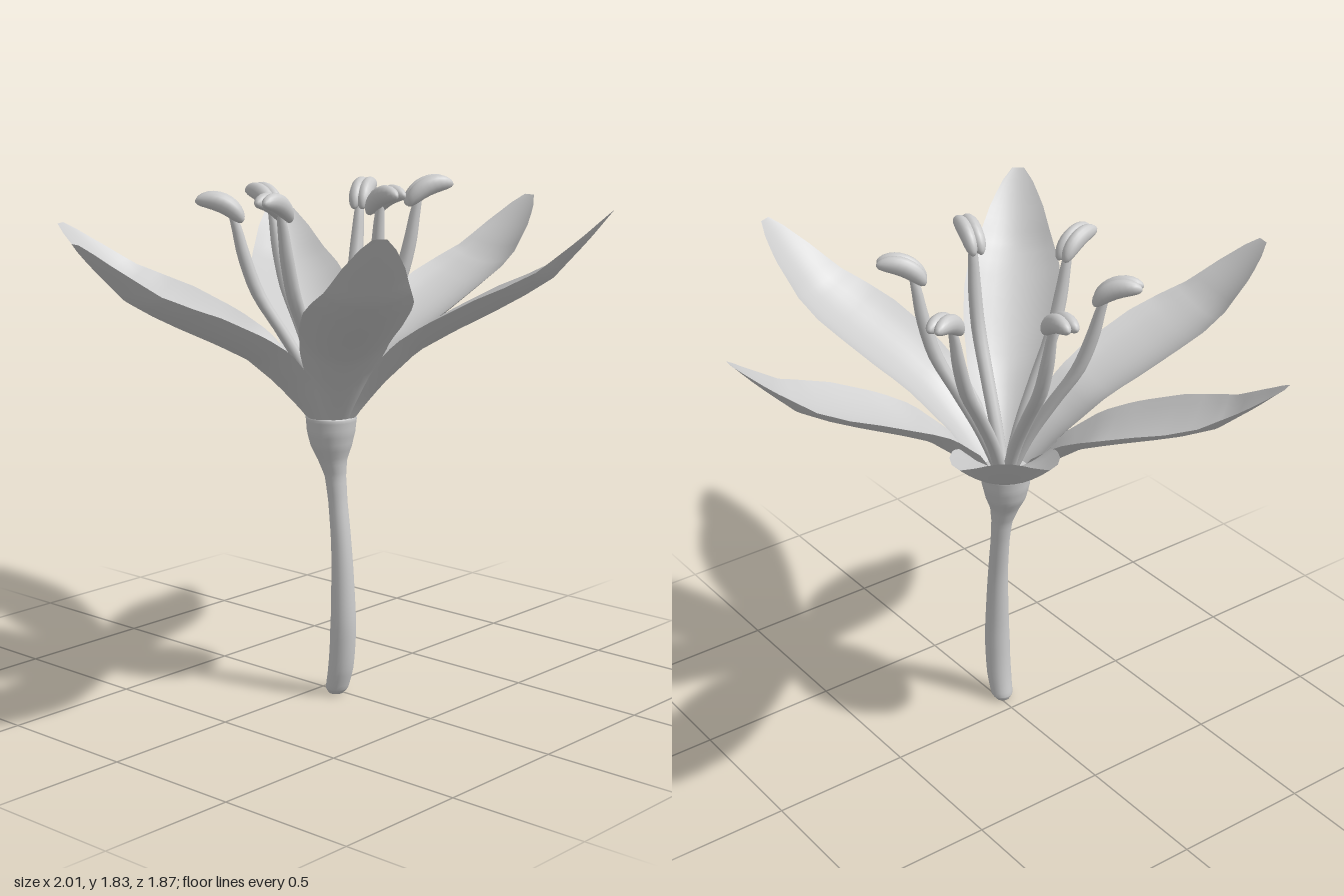
import * as THREE from 'three';
import { mergeVertices } from 'three/addons/utils/BufferGeometryUtils.js';

const CENTRE = new THREE.Vector3(-0.005, 0, 0.045); // axis of the flower head

// Linear lookup in a list of [key, value] pairs
function lookup(table, k) {
  for (let i = 1; i < table.length; i++) {
    const [a, va] = table[i - 1], [b, vb] = table[i];
    if (k <= b) return va + (vb - va) * Math.max(0, (k - a) / (b - a));
  }
  return table[table.length - 1][1];
}

// Move each vertex of a geometry by a rule, then smooth it
function reshape(geometry, rule) {
  const p = geometry.attributes.position, v = new THREE.Vector3();
  for (let i = 0; i < p.count; i++) {
    v.fromBufferAttribute(p, i);
    rule(v);
    p.setXYZ(i, v.x, v.y, v.z);
  }
  geometry.deleteAttribute('uv');
  geometry.deleteAttribute('normal');
  const smooth = mergeVertices(geometry, 1e-5);
  smooth.computeVertexNormals();
  return smooth;
}

// Round stalk along rows of [x, y, z, radius]
function stalk(rows, sides, steps) {
  const path = new THREE.CatmullRomCurve3(rows.map(r => new THREE.Vector3(r[0], r[1], r[2])));
  const radii = rows.map((r, i) => [i / (rows.length - 1), r[3]]);
  return reshape(new THREE.CylinderGeometry(1, 1, 1, sides, steps), v => {
    const t = v.y + 0.5, c = path.getPoint(t), r = lookup(radii, t);
    v.set(c.x + v.x * r, c.y, c.z + v.z * r);
  });
}

// Petal rules: rise, half width and cupping against distance along the petal
const RISE = [[0.07, -0.03], [0.1, 0.025], [0.15, 0.105], [0.2, 0.18], [0.32, 0.33], [0.45, 0.43],
  [0.6, 0.535], [0.7, 0.61], [0.8, 0.695], [0.92, 0.87], [1, 1]];
const WIDTH = [[0.07, 0.055], [0.1, 0.07], [0.2, 0.112], [0.3, 0.145], [0.45, 0.17], [0.6, 0.175],
  [0.7, 0.165], [0.8, 0.138], [0.9, 0.098], [0.96, 0.062], [1, 0.022]];
const CUP = [[0.07, 0.02], [0.2, 0.055], [0.4, 0.068], [0.6, 0.068], [0.8, 0.045], [1, 0]];

function petalGeometry(tip) {
  const dx = tip[0] - CENTRE.x, dz = tip[2] - CENTRE.z;
  const reach = Math.hypot(dx, dz), ux = dx / reach, uz = dz / reach, height = tip[1] - 1;
  return reshape(new THREE.PlaneGeometry(2, 1, 10, 28), v => {
    const t = 0.07 + 0.93 * (v.y + 0.5), s = v.x;
    const slope = (lookup(RISE, t + 0.05) - lookup(RISE, t - 0.05)) * height / (0.1 * reach);
    const n = Math.hypot(1, slope);
    const lift = lookup(CUP, t) * s * s;
    const r = t * reach - lift * slope / n, w = s * lookup(WIDTH, t);
    v.set(CENTRE.x + ux * r - uz * w, 1 + lookup(RISE, t) * height + lift / n, CENTRE.z + uz * r + ux * w);
  });
}

// One half of an anther: an arched, plump lobe lying along x
function lobeGeometry() {
  return reshape(new THREE.SphereGeometry(1, 14, 12).rotateZ(Math.PI / 2), v => {
    const plump = 1 + 0.25 * v.x * v.x;
    v.set(v.x * 0.09, v.y * 0.033 * plump - 0.025 * v.x * v.x + 0.008, v.z * 0.027 * plump);
  });
}

export function createModel() {
  const flower = new THREE.Group();
  flower.name = 'flower';
  const grey = new THREE.MeshStandardMaterial({ color: 0xcccccc });
  const thin = new THREE.MeshStandardMaterial({ color: 0xcccccc, side: THREE.DoubleSide });
  const add = (parent, name, geometry, material = grey) => {
    const mesh = new THREE.Mesh(geometry, material);
    mesh.name = name;
    parent.add(mesh);
    return mesh;
  };

  // Bent stem swelling into the cup that holds the petals
  add(flower, 'stem', stalk([
    [-0.015, 0, 0.075, 0.026], [-0.015, 0.02, 0.08, 0.04], [-0.017, 0.1, 0.1, 0.045],
    [-0.018, 0.25, 0.112, 0.046], [-0.015, 0.4, 0.107, 0.041], [-0.01, 0.55, 0.095, 0.036],
    [-0.004, 0.7, 0.073, 0.034], [-0.003, 0.79, 0.06, 0.038], [-0.008, 0.85, 0.051, 0.052],
    [-0.009, 0.9, 0.046, 0.073], [-0.009, 0.95, 0.045, 0.085], [-0.008, 1.0, 0.045, 0.09],
    [-0.008, 1.015, 0.045, 0.075],
  ], 20, 48));

  // Six petals, given by their tips
  const tips = [[1, 1.7, 0.13], [0.39, 1.75, 0.925], [-0.62, 1.74, 0.79],
    [-1, 1.68, -0.14], [-0.38, 1.63, -0.93], [0.62, 1.64, -0.8]];
  tips.forEach((tip, i) => add(flower, `petal${i + 1}`, petalGeometry(tip), thin));

  // Six stamens: the middle of each anther and the outward bow of its filament
  const anthers = [[0.355, 1.745, -0.13, 0], [0.268, 1.785, 0.237, 0.03], [-0.075, 1.785, 0.34, 0.1],
    [-0.355, 1.765, 0.11, 0], [-0.255, 1.735, -0.235, 0], [0.052, 1.735, -0.325, 0]];
  const lobe = lobeGeometry();
  anthers.forEach(([x, y, z, bow], i) => {
    const stamen = new THREE.Group();
    stamen.name = `stamen${i + 1}`;
    flower.add(stamen);

    // Filament leans outward, then turns upright under the anther
    const at = (k, h, r) => {
      const out = k + bow * Math.sin(Math.PI * h);
      return [CENTRE.x + (x - CENTRE.x) * out, 1 + (y - 1) * h, CENTRE.z + (z - CENTRE.z) * out, r];
    };
    add(stamen, 'filament', stalk([at(0.05, 0, 0.022), at(0.22, 0.2, 0.024), at(0.45, 0.4, 0.025),
      at(0.67, 0.58, 0.026), at(0.8, 0.76, 0.024), at(0.87, 0.9, 0.018), at(0.92, 0.98, 0.012)], 10, 20));

    // Twin-lobed anther tipping up at its outer end
    const anther = new THREE.Group();
    anther.name = 'anther';
    anther.position.set(x, y, z);
    anther.rotation.order = 'YZX';
    anther.rotation.set(0, -Math.atan2(z - CENTRE.z, x - CENTRE.x), 0.42);
    for (const side of [-1, 1]) {
      add(anther, side < 0 ? 'rightLobe' : 'leftLobe', lobe).position.z = side * 0.015;
    }
    stamen.add(anther);
  });
  return flower;
}
